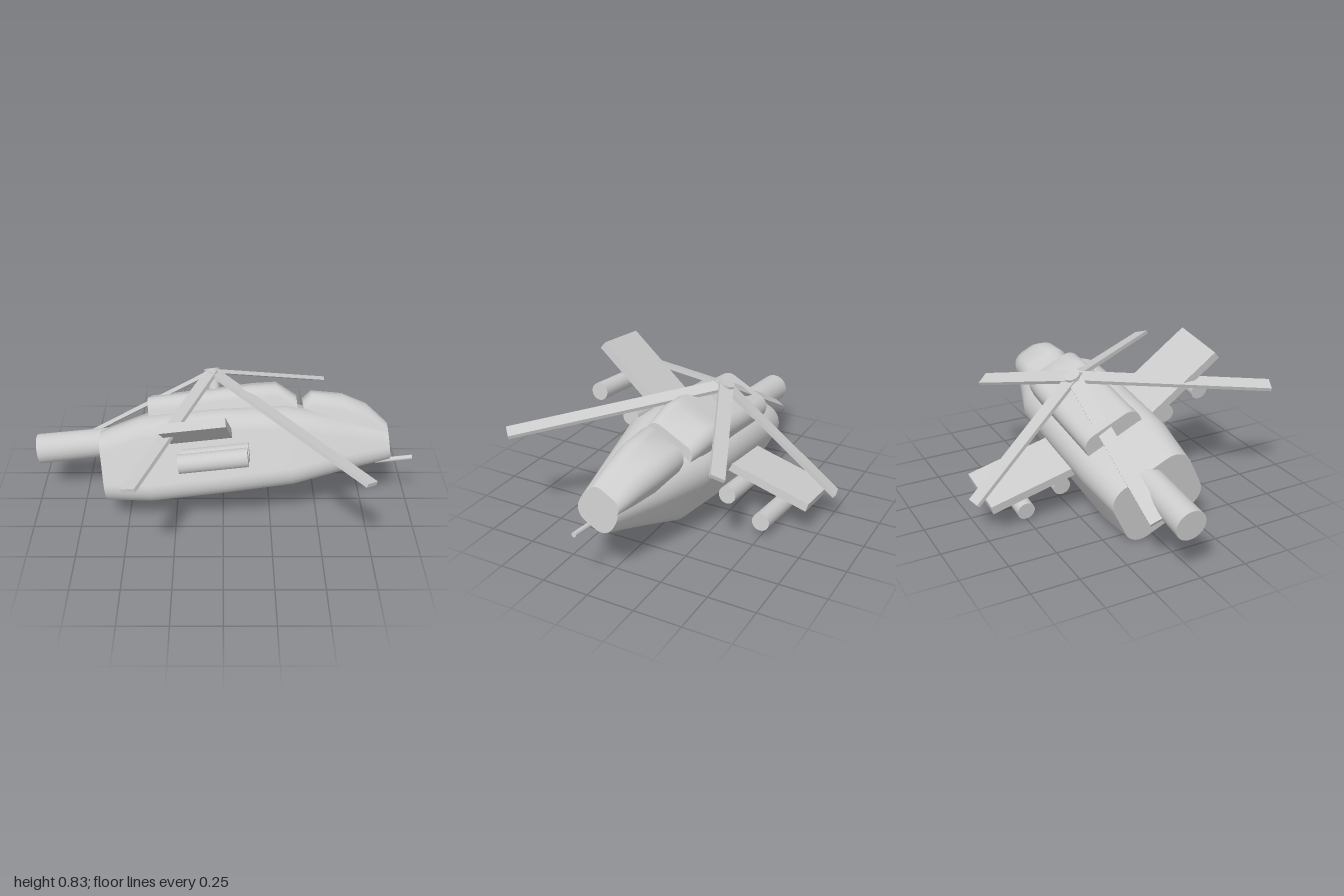
import * as THREE from 'three';

const material = new THREE.MeshStandardMaterial({ color: 0xcccccc, side: THREE.DoubleSide });

function add(parent, name, geometry) {
  const mesh = new THREE.Mesh(geometry, material);
  mesh.name = name;
  parent.add(mesh);
  return mesh;
}

// Rounded-rectangle ring in the y/z plane, running from +z over the top.
function ring([x, halfWidth, bottom, top, rLow, rHigh]) {
  const points = [], steps = 6;
  const corners = [[1, 1, 0], [-1, 1, 1], [-1, -1, 2], [1, -1, 3]];
  for (const [sz, sy, quarter] of corners) {
    const r = sy > 0 ? rHigh : rLow;
    const cz = sz * (halfWidth - r), cy = sy > 0 ? top - r : bottom + r;
    for (let i = 0; i <= steps; i++) {
      const a = (quarter + i / steps) * Math.PI / 2;
      points.push([x, cy + r * Math.sin(a), cz + r * Math.cos(a)]);
    }
  }
  return points;
}

// Smooth skin through the sections with sharp flat end caps.
function loft(sections) {
  const rings = sections.map(ring), n = rings[0].length;
  const position = rings.flat(2), index = [];
  for (let i = 0; i < rings.length - 1; i++) {
    for (let j = 0; j < n; j++) {
      const a = i * n + j, c = i * n + (j + 1) % n;
      index.push(a, a + n, c, a + n, c + n, c);
    }
  }
  for (const end of [0, rings.length - 1]) {
    const base = position.length / 3, s = sections[end];
    position.push(...rings[end].flat(), s[0], (s[2] + s[3]) / 2, 0);
    for (let j = 0; j < n; j++) {
      const k = (j + 1) % n;
      index.push(base + n, base + (end ? k : j), base + (end ? j : k));
    }
  }
  const geometry = new THREE.BufferGeometry();
  geometry.setAttribute('position', new THREE.Float32BufferAttribute(position, 3));
  geometry.setIndex(index);
  geometry.computeVertexNormals();
  return geometry;
}

// Cylinder lying along x.
function rod(x0, x1, r0, r1, y, z, sides = 24) {
  return new THREE.CylinderGeometry(r1, r0, x1 - x0, sides)
    .rotateZ(-Math.PI / 2).translate((x0 + x1) / 2, y, z);
}

// Flat bar from one point to another, kept level across its width.
function bar(from, to, width, thickness) {
  const along = to.clone().sub(from), length = along.length();
  along.normalize();
  const across = along.clone().cross(new THREE.Vector3(0, 1, 0)).normalize();
  const up = across.clone().cross(along);
  const matrix = new THREE.Matrix4().makeBasis(along, up, across);
  matrix.setPosition(from.clone().add(to).multiplyScalar(0.5));
  return new THREE.BoxGeometry(length, thickness, width).applyMatrix4(matrix);
}

export function createModel() {
  const model = new THREE.Group();
  model.name = 'helicopter';

  // Whole aircraft, nose towards +x, banked and pitched up
  const craft = new THREE.Group();
  craft.name = 'bankedAircraft';
  craft.rotation.set(-0.47, 0, 0.12, 'ZYX');
  craft.position.set(0, 0.257, 0.013);
  model.add(craft);

  // Sections: x, half width, bottom, top, lower radius, upper radius
  add(craft, 'fuselage', loft([
    [-0.615, 0.225, -0.135, 0.225, 0.09, 0.1],
    [-0.38, 0.25, -0.16, 0.285, 0.09, 0.11],
    [0, 0.25, -0.155, 0.285, 0.09, 0.11],
    [0.36, 0.245, -0.145, 0.265, 0.09, 0.12],
    [0.62, 0.175, -0.11, 0.185, 0.085, 0.11],
    [0.875, 0.105, -0.08, 0.1, 0.07, 0.08],
  ]));
  add(craft, 'engineHousing', loft([
    [-0.35, 0.16, 0.15, 0.375, 0.04, 0.065],
    [0.2, 0.16, 0.15, 0.385, 0.04, 0.065],
    [0.32, 0.155, 0.15, 0.38, 0.04, 0.065],
    [0.42, 0.14, 0.15, 0.3, 0.04, 0.055],
  ]));
  add(craft, 'canopy', loft([
    [0.45, 0.12, 0.05, 0.275, 0.04, 0.06],
    [0.5, 0.135, 0.05, 0.315, 0.04, 0.07],
    [0.66, 0.13, 0.03, 0.285, 0.04, 0.08],
    [0.78, 0.11, 0.01, 0.222, 0.04, 0.08],
    [0.875, 0.09, 0, 0.115, 0.03, 0.05],
  ]));

  add(craft, 'tailBoom', rod(-0.98, -0.55, 0.08, 0.075, 0.157, 0));
  add(craft, 'noseGun', rod(0.8, 0.995, 0.013, 0.013, -0.088, 0.005, 12));

  // Stub wings rise outwards, with two pods under each
  for (const [side, label] of [[1, 'right'], [-1, 'left']]) {
    const root = new THREE.Vector3(-0.083, 0.14, side * 0.17);
    const tip = new THREE.Vector3(-0.083, 0.25, side * 0.69);
    add(craft, label + 'StubWing', bar(root, tip, 0.315, 0.045));
    for (const z of [0.33, 0.55]) {
      add(craft, label + 'RocketPod', rod(-0.18, 0.155, 0.047, 0.047, 0.062, side * z));
    }
  }

  // Rotor: mast, hub and five drooping blades
  const rotor = new THREE.Group();
  rotor.name = 'rotor';
  craft.add(rotor);
  const hub = new THREE.Vector3(-0.007, 0.475, 0.02);
  add(rotor, 'rotorMast', new THREE.CylinderGeometry(0.03, 0.03, 0.12, 16)
    .translate(hub.x, 0.42, hub.z));
  add(rotor, 'rotorHub', new THREE.CylinderGeometry(0.042, 0.042, 0.03, 16)
    .translate(hub.x, hub.y, hub.z));
  const tips = [
    [-0.387, 0, 0.847], [0.719, -0.11, 0.658], [0.57, 0.362, -0.324],
    [-0.161, 0.289, -0.743], [-0.845, 0.159, -0.102],
  ];
  for (const tip of tips) {
    add(rotor, 'rotorBlade', bar(hub, new THREE.Vector3(...tip), 0.076, 0.02));
  }
  return model;
}
